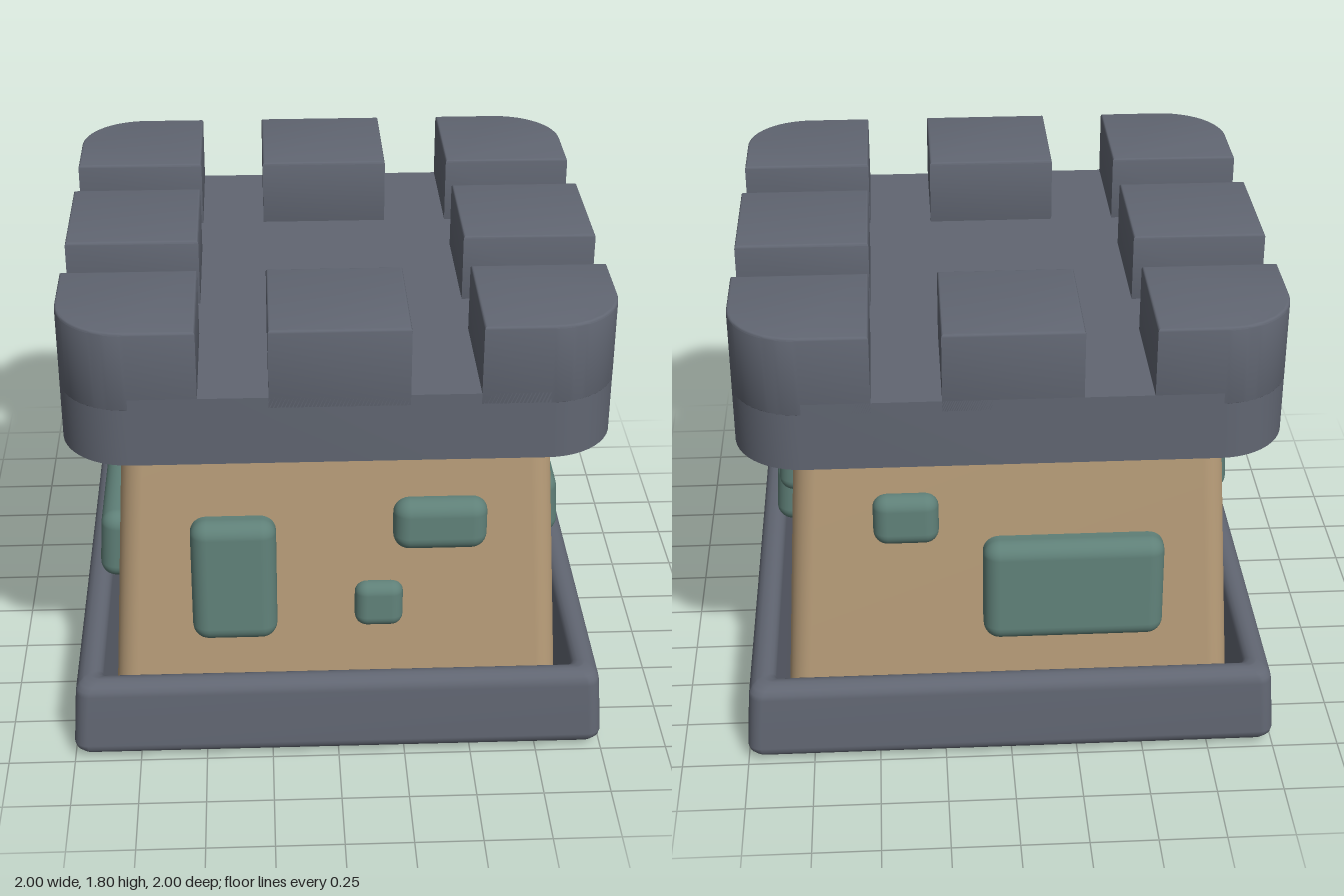
import * as THREE from 'three';
import { toCreasedNormals } from 'three/addons/utils/BufferGeometryUtils.js';
import { RoundedBoxGeometry } from 'three/addons/geometries/RoundedBoxGeometry.js';

const slate = new THREE.MeshStandardMaterial({ color: 0x616672 });
const sand = new THREE.MeshStandardMaterial({ color: 0xb89d79 });
const moss = new THREE.MeshStandardMaterial({ color: 0x5f8078 });

// Outline of a square with rounded corners, counter-clockwise seen from above
function squareLoop(half, y, radius, seg = 6) {
  const pts = [];
  for (let c = 0; c < 4; c++) {
    const a0 = c * Math.PI / 2;
    const cx = (half - radius) * (c === 0 || c === 3 ? 1 : -1);
    const cz = (half - radius) * (c < 2 ? 1 : -1);
    for (let i = 0; i <= seg; i++) {
      const a = a0 + (i / seg) * Math.PI / 2;
      pts.push([cx + radius * Math.cos(a), y, cz + radius * Math.sin(a)]);
    }
  }
  return pts;
}

// Skin over square loops given as [half, y, radius], going upward on the outside
function loft(profile, capped) {
  const loops = profile.map(([h, y, r]) => squareLoop(h, y, r));
  const n = loops[0].length;
  const pos = loops.flat(2);
  const idx = [];
  for (let j = 0; j < loops.length - 1; j++) {
    for (let i = 0; i < n; i++) {
      const k = (i + 1) % n;
      const a = j * n + i, b = j * n + k, c = a + n, d = b + n;
      idx.push(a, c, b, b, c, d);
    }
  }
  if (capped) {
    const last = (loops.length - 1) * n;
    const bottom = pos.length / 3, top = bottom + 1;
    pos.push(0, profile[0][1], 0, 0, profile[profile.length - 1][1], 0);
    for (let i = 0; i < n; i++) {
      const k = (i + 1) % n;
      idx.push(bottom, i, k, top, last + k, last + i);
    }
  }
  const g = new THREE.BufferGeometry();
  g.setAttribute('position', new THREE.Float32BufferAttribute(pos, 3));
  g.setIndex(idx);
  g.computeVertexNormals();
  return g;
}

// Quarter-round points of a profile from angle a0 to a1
function arc(h, y, r, a0, a1, corner, seg = 4) {
  return Array.from({ length: seg + 1 }, (_, i) => {
    const a = a0 + (a1 - a0) * i / seg;
    return [h + r * Math.cos(a), y + r * Math.sin(a), corner];
  });
}

// Upright extrusion of a plan shape between two heights
function upright(shape, y0, y1, bevel) {
  const g = new THREE.ExtrudeGeometry(shape, {
    depth: y1 - y0 - 2 * bevel, bevelEnabled: bevel > 0, bevelThickness: bevel,
    bevelSize: bevel, bevelOffset: -bevel, bevelSegments: 3, curveSegments: 12,
  });
  g.rotateX(-Math.PI / 2).translate(0, y0 + bevel, 0);
  return toCreasedNormals(g, 0.6);
}

function add(parent, name, geometry, material) {
  const mesh = new THREE.Mesh(geometry, material);
  mesh.name = name;
  parent.add(mesh);
  return mesh;
}

export function createModel() {
  const model = new THREE.Group();
  model.name = 'castleTower';
  const P = Math.PI;

  // Base frame around the foot of the wall, leaning slightly inward
  const frame = [
    ...arc(0.87, 0.045, 0.03, -P, -P / 2, 0.03),
    ...arc(0.945, 0.07, 0.055, -P / 2, 0, 0.05),
    ...arc(0.935, 0.285, 0.05, 0, P / 2, 0.05),
    ...arc(0.925, 0.295, 0.04, P / 2, P, 0.03),
    [0.84, 0.045, 0.03],
  ];
  add(model, 'baseFrame', loft(frame, false), slate);

  // Tapered tower wall with rounded edges
  const wall = [
    [0.78, 0, 0.03],
    ...arc(0.805, 0.045, 0.045, -P / 2, 0, 0.08),
    ...arc(0.685, 1.2, 0.095, 0, P / 2, 0.08),
  ];
  add(model, 'towerWall', loft(wall, true), sand);

  // Crown slab
  const half = 0.98, r = 0.25, inner = 0.49;
  const plan = new THREE.Shape(squareLoop(half, 0, r, 12).map(p => new THREE.Vector2(p[0], p[2])));
  add(model, 'crownSlab', upright(plan, 1.29, 1.55, 0), slate);

  // Battlements: one corner block and one middle block per side
  const corner = new THREE.Shape();
  corner.moveTo(inner, inner);
  corner.lineTo(half, inner);
  corner.lineTo(half, half - r);
  corner.absarc(half - r, half - r, r, 0, P / 2, false);
  corner.lineTo(inner, half);
  corner.closePath();
  const middle = new THREE.Shape();
  middle.moveTo(-0.245, inner);
  middle.lineTo(0.245, inner);
  middle.lineTo(0.245, half);
  middle.lineTo(-0.245, half);
  middle.closePath();
  const cornerGeo = upright(corner, 1.5, 1.805, 0.01);
  const middleGeo = upright(middle, 1.5, 1.805, 0.01);
  const battlements = new THREE.Group();
  battlements.name = 'battlements';
  for (let k = 0; k < 4; k++) {
    add(battlements, 'cornerMerlon', cornerGeo, slate).rotation.y = k * P / 2;
    add(battlements, 'middleMerlon', middleGeo, slate).rotation.y = k * P / 2;
  }
  model.add(battlements);

  // Stones per side: [u0, u1, y0, y1, protrusion], u running right as that side is faced
  const sides = [
    ['frontStones', 0, [[-0.54, -0.225, 0.46, 0.955, 0.085], [0.205, 0.55, 0.815, 1.02, 0.065], [0.065, 0.245, 0.485, 0.67, 0.045]]],
    ['leftStones', P / 2, [[-0.37, 0.195, 0.555, 0.82, 0.075], [0.27, 0.545, 0.915, 1.11, 0.055]]],
    ['backStones', P, [[-0.1, 0.57, 0.46, 0.87, 0.09], [-0.5, -0.26, 0.86, 1.06, 0.055]]],
    ['rightStones', -P / 2, [[-0.11, 0.5, 0.48, 0.77, 0.085], [-0.5, -0.2, 0.84, 1.05, 0.05]]],
  ];
  const slope = 0.07 / 1.155;
  for (const [name, angle, stones] of sides) {
    const group = new THREE.Group();
    group.name = name;
    group.rotation.y = angle;
    for (const [u0, u1, y0, y1, out] of stones) {
      const y = (y0 + y1) / 2;
      const depth = 2 * out + 0.04;
      const geo = new RoundedBoxGeometry(u1 - u0, y1 - y0, depth, 4, Math.min(0.06, depth * 0.35));
      const stone = add(group, 'stone', geo, moss);
      stone.position.set((u0 + u1) / 2, y, 0.85 - slope * (y - 0.045) - 0.02);
      stone.rotation.x = -Math.atan(slope);
    }
    model.add(group);
  }
  return model;
}
